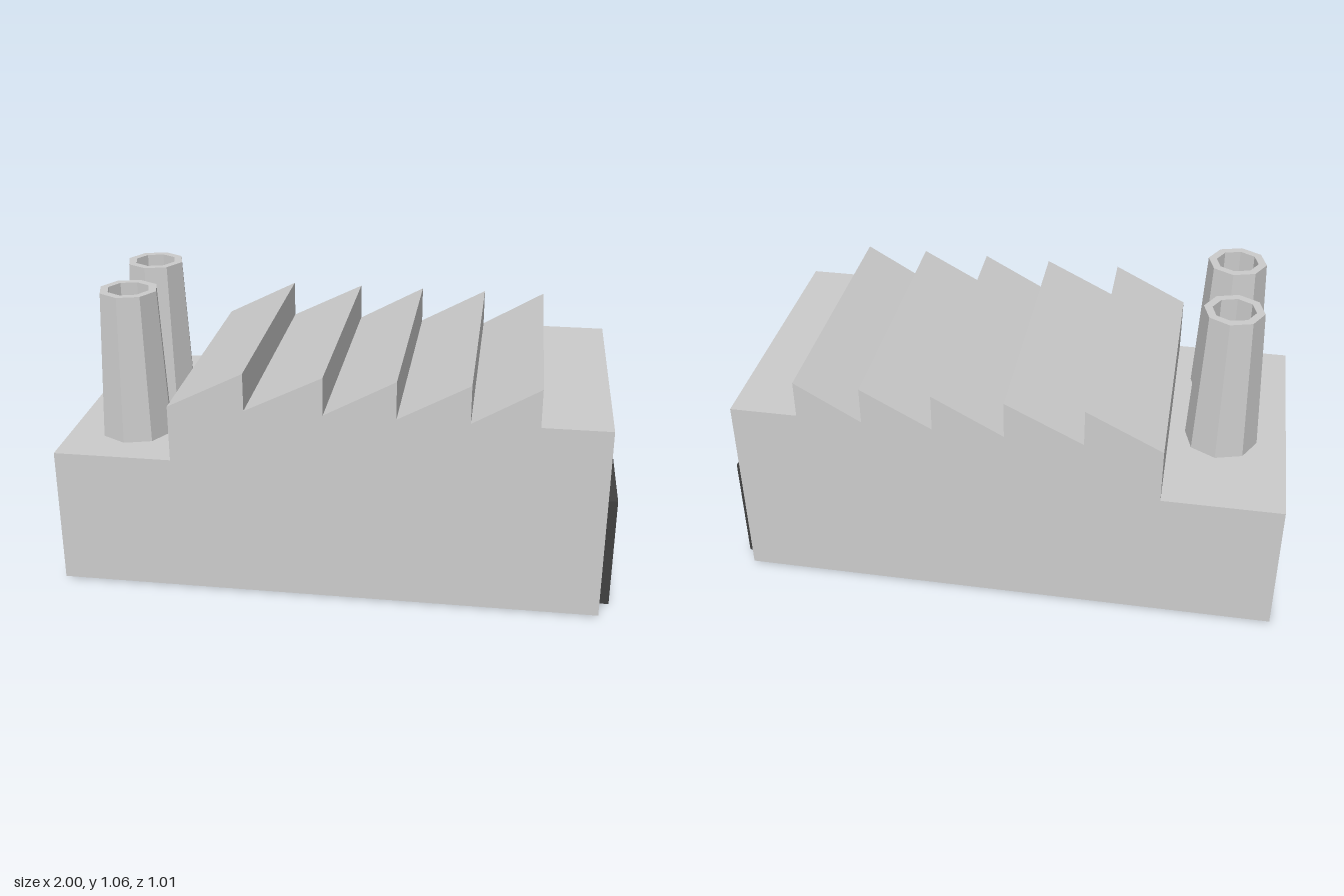
import * as THREE from 'three';

export function createModel() {
  const model = new THREE.Group();
  model.name = 'factory';
  const grey = new THREE.MeshStandardMaterial({ color: 0xcccccc, flatShading: true });
  const dark = new THREE.MeshStandardMaterial({ color: 0x404040, flatShading: true });

  const add = (name, geometry, material, x, y, z) => {
    const mesh = new THREE.Mesh(geometry, material);
    mesh.name = name;
    mesh.position.set(x, y, z);
    model.add(mesh);
  };

  // Hall with a sawtooth roof and a low annex, extruded from its side outline
  const base = 0.004, annexTop = 0.513, eaves = 0.72, ridge = 0.858, depth = 1.012;
  const outline = new THREE.Shape();
  outline.moveTo(-1, base);
  outline.lineTo(0.96, base);
  outline.lineTo(0.96, eaves);
  const teeth = [0.717, 0.482, 0.23, -0.023, -0.3, -0.572];
  for (let i = 0; i < teeth.length - 1; i++) {
    outline.lineTo(teeth[i], eaves);
    outline.lineTo(teeth[i], ridge);
  }
  outline.lineTo(teeth[teeth.length - 1], eaves);
  outline.lineTo(teeth[teeth.length - 1], annexTop);
  outline.lineTo(-1, annexTop);
  outline.closePath();
  const hall = new THREE.ExtrudeGeometry(outline, { depth, bevelEnabled: false });
  add('hall', hall, grey, 0, 0, -depth / 2);

  // Two tapered eight-sided chimneys with a recessed flue
  const profile = [
    [0, 0], [0.133, 0], [0.107, 0.547], [0.077, 0.547], [0.077, 0.46], [0, 0.46],
  ].map(([r, y]) => new THREE.Vector2(r, y));
  const chimney = new THREE.LatheGeometry(profile, 8, THREE.MathUtils.degToRad(38.3));
  for (const z of [0.255, -0.097]) add('chimney', chimney, grey, -0.762, 0.512, z);

  // Loading doors on the left end wall
  const door = new THREE.BoxGeometry(0.07, 0.416, 0.415);
  for (const z of [0.21, -0.234]) add('loadingDoor', door, dark, 0.965, 0.208, z);

  return model;
}
